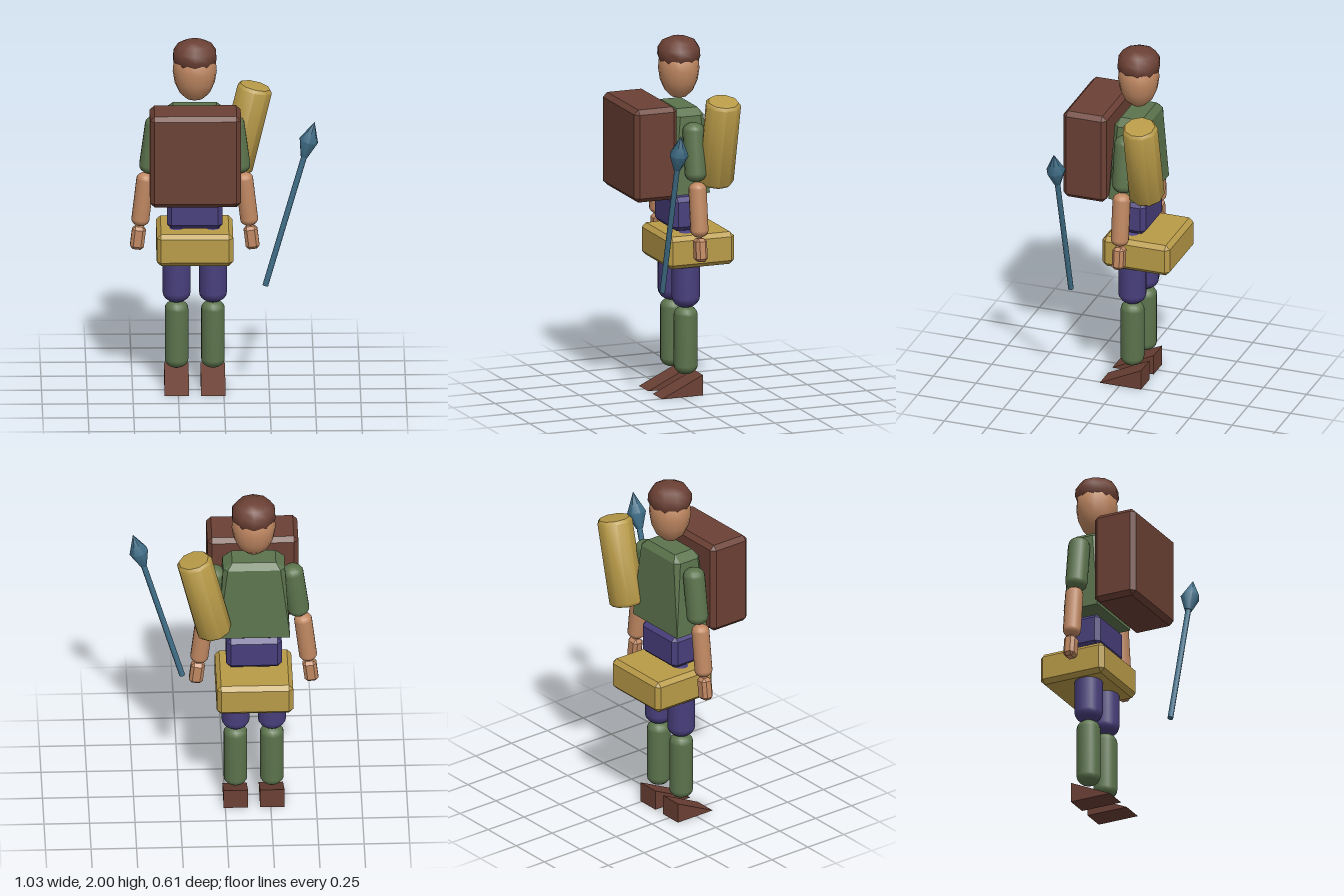
import * as THREE from 'three';
import { ConvexGeometry } from 'three/addons/geometries/ConvexGeometry.js';
import { toCreasedNormals } from 'three/addons/utils/BufferGeometryUtils.js';

const V = (x, y, z) => new THREE.Vector3(x, y, z);
const UP = V(0, 1, 0);
const mat = (color) => new THREE.MeshStandardMaterial({ color });
const brown = mat(0x6b4034), skin = mat(0xc08862), green = mat(0x5c744d);
const purple = mat(0x483f7c), gold = mat(0xb99b48), blue = mat(0x41708a);

function part(group, name, geometry, material) {
  const mesh = new THREE.Mesh(geometry, material);
  mesh.name = name;
  group.add(mesh);
  return mesh;
}

// Box with all edges cut at an angle
function chamferBox(w, h, d, b) {
  const pts = [], x = w / 2, y = h / 2, z = d / 2, c = b;
  for (const i of [-1, 1]) for (const j of [-1, 1]) for (const k of [-1, 1]) {
    pts.push(V(i * x, j * (y - c), k * (z - c)));
    pts.push(V(i * (x - c), j * y, k * (z - c)));
    pts.push(V(i * (x - c), j * (y - c), k * z));
  }
  return new ConvexGeometry(pts);
}

function lathe(profile, sides) {
  return new THREE.LatheGeometry(profile.map(([r, y]) => new THREE.Vector2(r, y)), sides);
}

// Stands a shape made along +y from one point towards another
function along(mesh, from, to) {
  mesh.position.copy(from);
  mesh.quaternion.setFromUnitVectors(UP, to.clone().sub(from).normalize());
  return mesh;
}

// Round-ended limb running from tip to tip
function limb(group, name, from, to, r, material) {
  const len = from.distanceTo(to), cap = r * 0.78, profile = [], n = 5;
  for (let i = 0; i <= n; i++) {
    const a = (i / n) * Math.PI / 2;
    profile.push([r * Math.sin(a), cap * (1 - Math.cos(a))]);
  }
  for (let i = n; i >= 0; i--) {
    const a = (i / n) * Math.PI / 2;
    profile.push([r * Math.sin(a), len - cap * (1 - Math.cos(a))]);
  }
  return along(part(group, name, lathe(profile, 14), material), from, to);
}

export function createModel() {
  const model = new THREE.Group();
  model.name = 'travellerWithSpear';

  // Figure, built around its own centre line
  const body = new THREE.Group();
  body.name = 'figure';
  body.position.set(-0.158, 0, -0.052);
  model.add(body);

  // Torso: tapered block with cut corners and shoulders
  const torso = [];
  for (const i of [-1, 1]) for (const k of [-1, 1]) {
    torso.push(V(i * 0.197, 1.15, k * 0.104));
    torso.push(V(i * 0.17, 1.585, k * 0.06), V(i * 0.145, 1.585, k * 0.087));
    torso.push(V(i * 0.12, 1.622, k * 0.06));
  }
  part(body, 'torso', new ConvexGeometry(torso), green);
  part(body, 'waist', chamferBox(0.305, 0.19, 0.178, 0.025), purple).position.y = 1.027;
  part(body, 'belt', chamferBox(0.42, 0.182, 0.394, 0.024), gold).position.set(0, 0.825, -0.054);
  part(body, 'frontPack', chamferBox(0.5, 0.523, 0.253, 0.025), brown).position.set(0, 1.402, 0.231);

  // Head and cap
  const head = part(body, 'head', lathe([[0, 1.655], [0.045, 1.664], [0.083, 1.698], [0.11, 1.755],
    [0.121, 1.82], [0.116, 1.88], [0.085, 1.925], [0, 1.945]], 16), skin);
  head.scale.z = 0.93;
  const cap = part(body, 'cap', toCreasedNormals(lathe([[0, 1.862], [0.112, 1.865], [0.125, 1.895], [0.122, 1.935],
    [0.095, 1.975], [0.05, 1.995], [0, 2]], 10), 0.8), brown);
  cap.scale.z = 0.97;

  // Arms and legs
  for (const [side, s] of [['left', 1], ['right', -1]]) {
    limb(body, side + 'UpperArm', V(s * 0.207, 1.56, 0), V(s * 0.252, 1.232, 0), 0.061, green);
    limb(body, side + 'Forearm', V(s * 0.267, 1.236, 0), V(s * 0.303, 0.93, 0), 0.05, skin);
    const hand = part(body, side + 'Hand', chamferBox(0.076, 0.13, 0.066, 0.017), skin);
    hand.position.set(s * 0.312, 0.862, 0);
    hand.rotation.z = s * 0.12;

    limb(body, side + 'Thigh', V(s * 0.1, 0.49, 0), V(s * 0.1, 0.925, 0), 0.078, purple);
    limb(body, side + 'Shin', V(s * 0.1, 0.113, 0), V(s * 0.1, 0.502, 0), 0.066, green);

    // Wedge shoe, tall at the heel and thin at the toe
    const shoe = [];
    for (const i of [-1, 1]) {
      const x = s * 0.1 + i * 0.067;
      shoe.push(V(x, 0, 0.167), V(x, 0, -0.075), V(x, 0.115, -0.075));
    }
    part(body, side + 'Shoe', new ConvexGeometry(shoe), brown);
  }

  // Leaning roll behind the left shoulder
  const roll = part(model, 'backRoll', toCreasedNormals(lathe([[0, 0], [0.085, 0.003], [0.099, 0.02],
    [0.099, 0.48], [0.085, 0.497], [0, 0.5]], 9), 0.8), gold);
  along(roll, V(0.06, 1.209, -0.18), V(0.177, 1.697, -0.18));

  // Spear held apart from the hand
  const spear = new THREE.Group();
  spear.name = 'spear';
  part(spear, 'spearShaft', new THREE.CylinderGeometry(0.016, 0.016, 0.8, 8).translate(0, 0.4, 0), blue);
  part(spear, 'spearHead', toCreasedNormals(lathe([[0, 0.77], [0.02, 0.77], [0.054, 0.865], [0, 0.98]], 7), 0.9), blue);
  along(spear, V(0.226, 0.664, 0.203), V(0.497, 1.607, 0.203));
  model.add(spear);

  return model;
}
